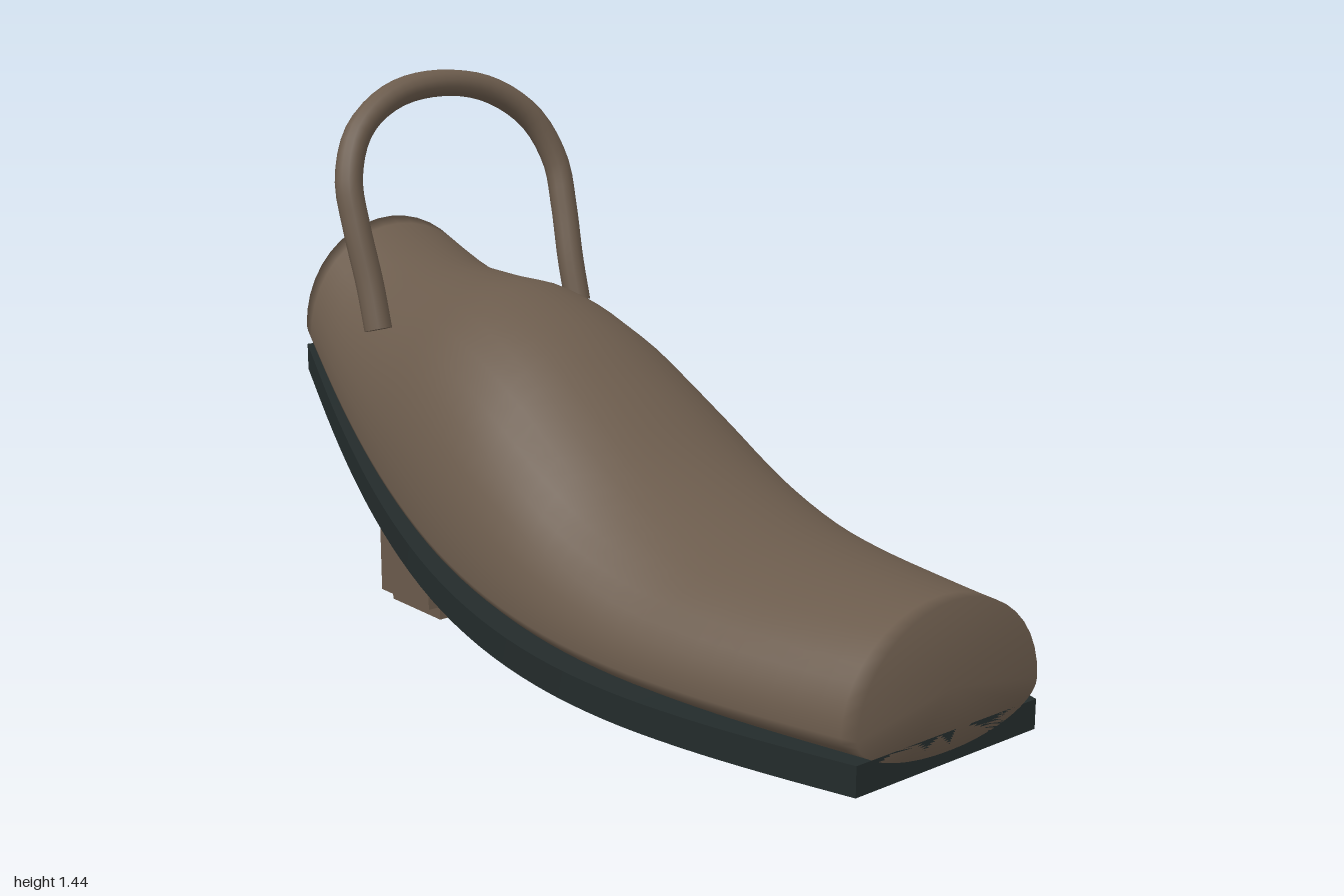
import * as THREE from 'three';
import { toCreasedNormals } from 'three/addons/utils/BufferGeometryUtils.js';

const leather = new THREE.MeshStandardMaterial({ color: 0x6b5b4c });
const rubber = new THREE.MeshStandardMaterial({ color: 0x232b2b });

// Heights every 0.2 from the back (z = -1) to the toe (z = 1)
const heightCurve = (ys) => new THREE.SplineCurve(ys.map((y, i) => new THREE.Vector2(-1 + i * 0.2, y)));
const soleLine = heightCurve([0.66, 0.54, 0.435, 0.345, 0.27, 0.215, 0.178, 0.157, 0.148, 0.145, 0.145]);
const topLine = heightCurve([1.04, 0.957, 0.94, 0.935, 0.865, 0.74, 0.61, 0.53, 0.502, 0.493, 0.49]);
const halfWidth = (z, middle) => 0.27 + (middle - 0.27) * Math.cos(z * Math.PI / 2);

// Skins closed loops (counter-clockwise seen from +z, ordered back to front) and caps both ends
function loft(loops) {
  const n = loops[0].length, rows = loops.length;
  const points = loops.flat(), index = [];
  for (let i = 0; i < rows - 1; i++) {
    for (let j = 0; j < n; j++) {
      const a = i * n + j, b = i * n + (j + 1) % n;
      index.push(a, b, a + n, b, b + n, a + n);
    }
  }
  for (const row of [0, rows - 1]) {
    const centre = points.length;
    const mid = loops[row].reduce((s, p) => s.add(p), new THREE.Vector3()).divideScalar(n);
    points.push(mid);
    for (let j = 0; j < n; j++) {
      const a = row * n + j, b = row * n + (j + 1) % n;
      index.push(centre, ...(row ? [a, b] : [b, a]));
    }
  }
  const geometry = new THREE.BufferGeometry().setFromPoints(points);
  geometry.setIndex(index);
  geometry.computeVertexNormals();
  return geometry;
}

function stations(count, section) {
  return Array.from({ length: count + 1 }, (_, i) => {
    const base = soleLine.getPoint(i / count), top = topLine.getPoint(i / count);
    return section(base.x, base.y, top.y);
  });
}

export function createModel() {
  const model = new THREE.Group();
  const add = (name, geometry, material, parent = model) => {
    const mesh = new THREE.Mesh(geometry, material);
    mesh.name = name;
    parent.add(mesh);
    return mesh;
  };

  // Upper: egg-shaped sections, deep above the widest line and shallow below it
  const upper = loft(stations(40, (z, base, top) => {
    const w = halfWidth(z, 0.427), middle = base + 0.115;
    return Array.from({ length: 40 }, (_, j) => {
      const a = j / 40 * Math.PI * 2, s = Math.sin(a);
      return new THREE.Vector3(w * Math.cos(a), middle + s * (s > 0 ? top - middle : 0.09), z);
    });
  }));
  add('upper', upper, leather);

  // Sole: a curved slab with square edges
  const sole = loft(stations(40, (z, base) => {
    const w = halfWidth(z, 0.446);
    return [[w, 0], [w, 0.067], [-w, 0.067], [-w, 0]].map(([x, y]) => new THREE.Vector3(x, base + y, z));
  }));
  add('sole', toCreasedNormals(sole, 0.6), rubber);

  // Heel: three crossed boxes give the stepped edges
  const heel = new THREE.Group();
  heel.name = 'heel';
  model.add(heel);
  for (const [name, w, h, d] of [
    ['heelCore', 0.15, 0.485, 0.225],
    ['heelSides', 0.22, 0.415, 0.225],
    ['heelFrontAndBack', 0.15, 0.415, 0.29],
  ]) {
    add(name, new THREE.BoxGeometry(w, h, d), leather, heel).position.set(0, 0.2445, -0.814);
  }

  // Ankle strap: an arched tube leaning backwards
  const half = [[0.31, 0.832], [0.311, 0.94], [0.32, 1.08], [0.318, 1.19], [0.265, 1.302], [0.15, 1.38]];
  const arch = [...half, [0, 1.405], ...half.map(([x, y]) => [-x, y]).reverse()]
    .map(([x, y]) => new THREE.Vector3(x, y, -0.593 - (y - 0.832) * 0.28));
  const strapCurve = new THREE.CatmullRomCurve3(arch);
  const strap = new THREE.Group();
  strap.name = 'ankleStrap';
  model.add(strap);
  add('strapTube', new THREE.TubeGeometry(strapCurve, 48, 0.034, 12), leather, strap);
  for (const t of [0, 1]) {
    const cap = add('strapEnd', new THREE.CircleGeometry(0.034, 12), leather, strap);
    const outward = strapCurve.getTangent(t).multiplyScalar(t ? 1 : -1);
    cap.position.copy(strapCurve.getPoint(t));
    cap.quaternion.setFromUnitVectors(new THREE.Vector3(0, 0, 1), outward);
  }

  return model;
}
